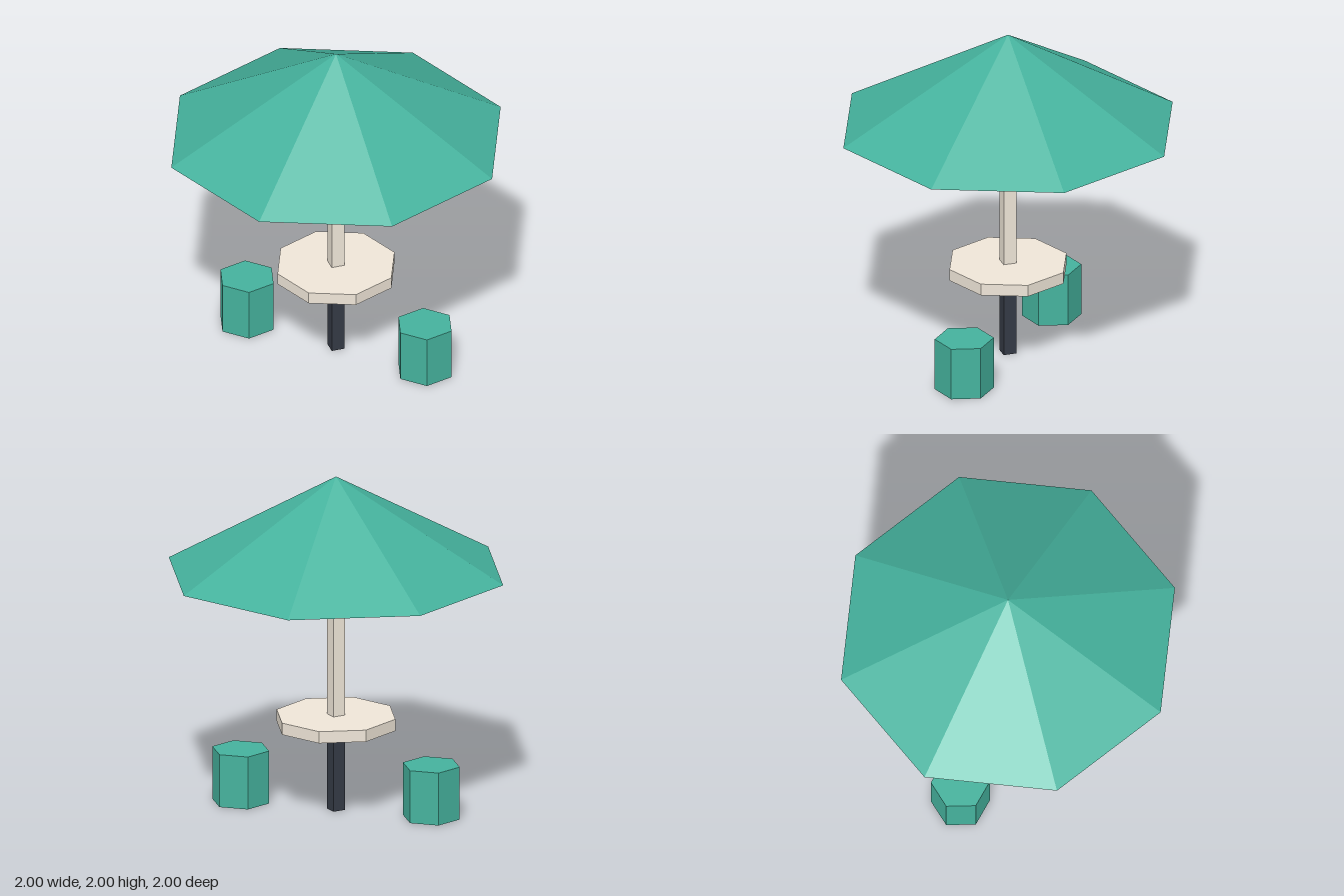
import * as THREE from 'three';

const material = (color) => new THREE.MeshStandardMaterial({ color, flatShading: true });

export function createModel() {
  const model = new THREE.Group();
  const teal = material(0x45b29d);
  const cream = material(0xefe6d8);
  const dark = material(0x343a45);

  // Upright faceted prism or cone between two heights
  const addPrism = (name, mat, sides, rTop, rBottom, y0, y1, x = 0, turn = 0) => {
    const mesh = new THREE.Mesh(
      new THREE.CylinderGeometry(rTop, rBottom, y1 - y0, sides), mat);
    mesh.name = name;
    mesh.position.set(x, (y0 + y1) / 2, 0);
    mesh.rotation.y = turn;
    model.add(mesh);
  };

  // Octagonal parasol, closed underneath
  addPrism('canopy', teal, 8, 0, 1, 1.43, 2);

  // Square pole set corner-on: light above the table, dark below
  addPrism('upperPole', cream, 4, 0.055, 0.055, 0.5, 1.45);
  addPrism('lowerPole', dark, 4, 0.055, 0.055, 0, 0.505);

  // Octagonal table top
  addPrism('tableTop', cream, 8, 0.355, 0.355, 0.5, 0.57);

  // Hexagonal stools, a corner pointing at the table
  for (const [name, side] of [['leftStool', 1], ['rightStool', -1]]) {
    addPrism(name, teal, 6, 0.17, 0.17, 0, 0.315, side * 0.57, Math.PI / 2);
  }

  return model;
}
